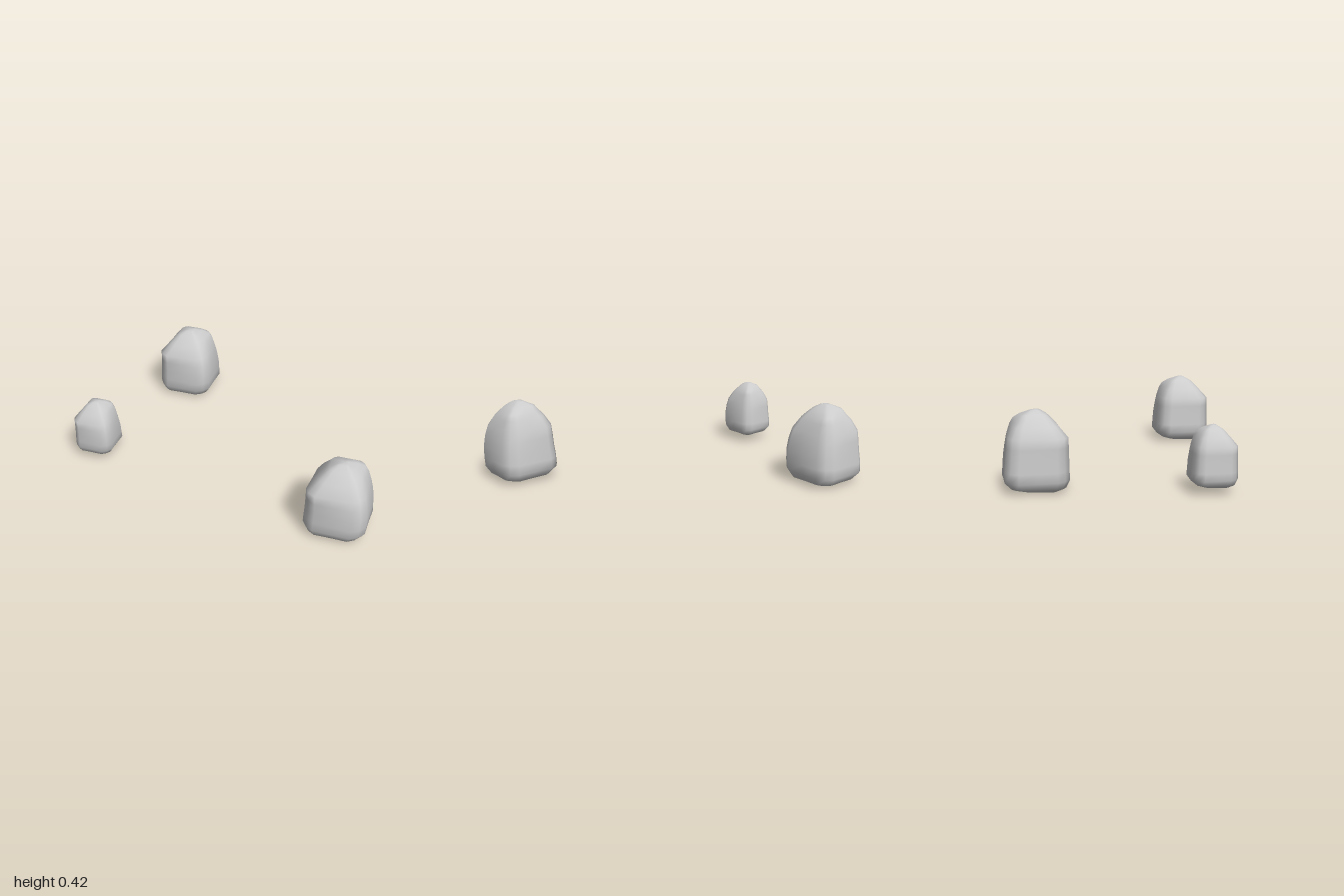
import * as THREE from 'three';

// One quarter of the rounded-diamond cross-section, from one axis to the next
const QUARTER = [[1, 0], [0.95, 0.24], [0.59, 0.59], [0.24, 0.95]];

// Rock levels: height, then reach towards +x, +z, -x, -z
const LEVELS = [
  [0.0, 0.11, 0.10, 0.13, 0.085],
  [0.02, 0.165, 0.165, 0.175, 0.15],
  [0.06, 0.2, 0.193, 0.195, 0.19],
  [0.11, 0.195, 0.198, 0.193, 0.187],
  [0.17, 0.19, 0.198, 0.192, 0.178],
  [0.23, 0.178, 0.188, 0.193, 0.172],
  [0.28, 0.165, 0.172, 0.195, 0.165],
  [0.335, 0.148, 0.132, 0.137, 0.13],
  [0.365, 0.13, 0.1, 0.105, 0.1],
  [0.39, 0.085, 0.07, 0.075, 0.08],
  [0.41, 0.025, 0.035, 0.03, 0.025],
];

function rockGeometry() {
  const pos = [], index = [], n = QUARTER.length * 4;
  for (const [y, ...reach] of LEVELS) {
    for (let q = 0; q < 4; q++) {
      const c = Math.round(Math.cos(q * Math.PI / 2)), s = Math.round(Math.sin(q * Math.PI / 2));
      for (const [u, v] of QUARTER) {
        const a = u * reach[q], b = v * reach[(q + 1) % 4];
        pos.push(a * c - b * s, y, a * s + b * c);
      }
    }
  }
  const last = (LEVELS.length - 1) * n, bottom = LEVELS.length * n, top = bottom + 1;
  pos.push(-0.01, 0, 0.01, 0, 0.416, 0.01);
  for (let i = 0; i < n; i++) {
    const k = (i + 1) % n;
    for (let j = 0; j < last; j += n) {
      index.push(j + i, j + n + i, j + k, j + k, j + n + i, j + n + k);
    }
    index.push(bottom, i, k, top, last + k, last + i);
  }
  const g = new THREE.BufferGeometry();
  g.setAttribute('position', new THREE.Float32BufferAttribute(pos, 3));
  g.setIndex(index);
  g.computeVertexNormals();
  return g;
}

export function createModel() {
  const group = new THREE.Group();
  group.name = 'rocks';
  const geometry = rockGeometry();
  const material = new THREE.MeshStandardMaterial({ color: 0xcccccc });

  // Two large rocks and a smaller, slightly raised one
  const rocks = [
    ['frontRock', [0.42, 0, 0.8], [1, 1, 1]],
    ['backRock', [0.3, 0, -0.805], [1, 1, 1]],
    ['smallRock', [-0.49, 0.03, -0.37], [0.7, 0.76, 0.7]],
  ];
  for (const [name, position, scale] of rocks) {
    const rock = new THREE.Mesh(geometry, material);
    rock.name = name;
    rock.position.set(...position);
    rock.scale.set(...scale);
    group.add(rock);
  }
  return group;
}
